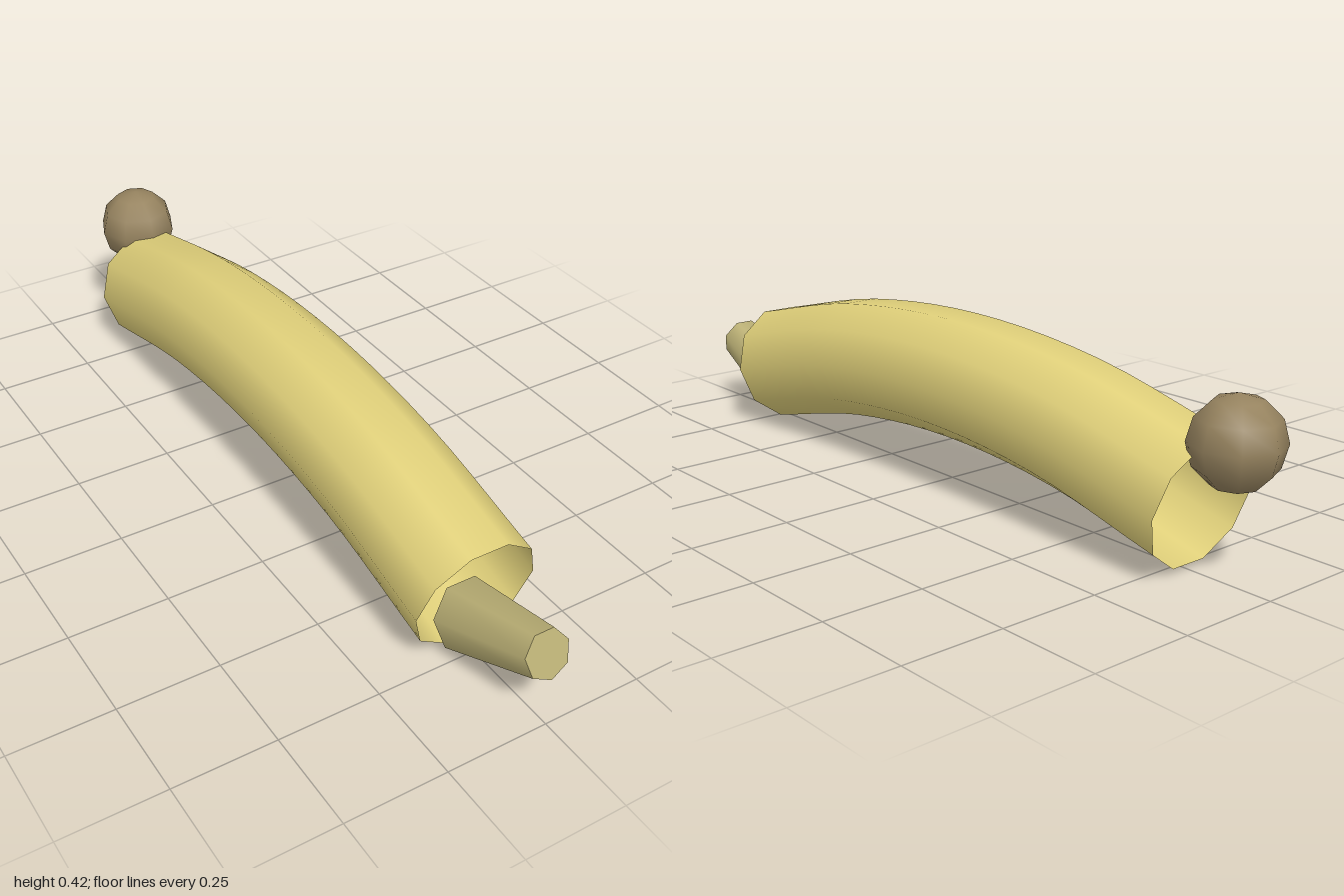
import * as THREE from 'three';

export function createModel() {
  const model = new THREE.Group();
  const peel = new THREE.MeshStandardMaterial({ color: 0xe0d07a, side: THREE.DoubleSide });
  peel.name = 'yellow peel';
  const stemMat = new THREE.MeshStandardMaterial({ color: 0xbcb176 });
  stemMat.name = 'dull olive';
  const tipMat = new THREE.MeshStandardMaterial({ color: 0x96835f });
  tipMat.name = 'brown';

  const add = (name, geometry, material) => {
    const mesh = new THREE.Mesh(geometry, material);
    mesh.name = name;
    model.add(mesh);
    return mesh;
  };

  // Curved body: an open ten-sided tube along a shallow arch
  const points = [-1, -0.5, 0, 0.5, 1].map(
    (t) => new THREE.Vector3(0, 0.275 - 0.117 * t * t, -0.037 + 0.777 * t)
  );
  const path = new THREE.CatmullRomCurve3(points);
  add('body', new THREE.TubeGeometry(path, 20, 0.156, 10, false), peel);

  // Tapered seven-sided stem, tilted up at the front
  const stem = add('stem', new THREE.CylinderGeometry(0.058, 0.087, 0.285, 7), stemMat);
  stem.position.set(0, 0.133, 0.847);
  stem.rotation.x = THREE.MathUtils.degToRad(69);

  // Round tip at the back
  const tip = add('tip', new THREE.SphereGeometry(0.105, 8, 6), tipMat);
  tip.position.set(0, 0.311, -0.894);

  return model;
}
